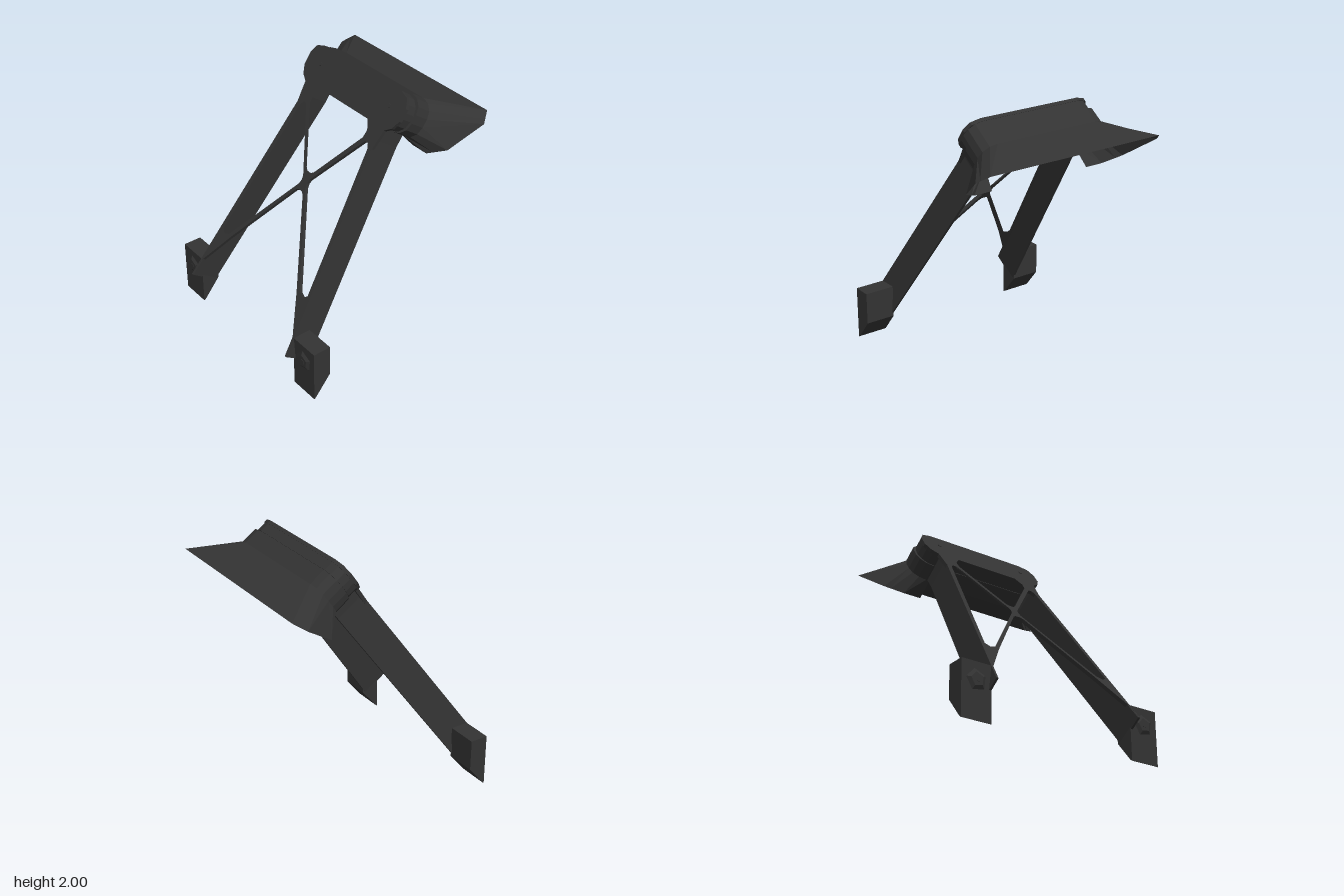
import * as THREE from 'three';

const TILT = -35 * Math.PI / 180;
const DEPTH = 0.245; // depth of the side legs behind the front plane
const dark = new THREE.MeshStandardMaterial({ color: 0x333333, flatShading: true });
const darkOpen = new THREE.MeshStandardMaterial({ color: 0x333333, flatShading: true, side: THREE.DoubleSide });

const vec = (pts) => pts.map(([x, y]) => new THREE.Vector2(x, y));
const flip = (pts) => pts.map(([x, y]) => [-x, y]);
const mirrored = (half) => [...half, ...flip(half).reverse()];

function add(parent, name, geometry, material = dark) {
  const mesh = new THREE.Mesh(geometry, material);
  mesh.name = name;
  parent.add(mesh);
  return mesh;
}

// Flat outline extruded from z = back to z = front
function slab(outline, back, front, holes = []) {
  const shape = new THREE.Shape(vec(outline));
  holes.forEach((h) => shape.holes.push(new THREE.Path(vec(h))));
  const g = new THREE.ExtrudeGeometry(shape, { depth: front - back, bevelEnabled: false });
  return g.translate(0, 0, back);
}

// Rounded oblong, four points per corner, counter-clockwise from the bottom right
function oblong(w, bottom, top, r) {
  const pts = [];
  const centres = [[w - r, bottom + r], [w - r, top - r], [r - w, top - r], [r - w, bottom + r]];
  centres.forEach(([cx, cy], c) => {
    for (let k = 0; k < 4; k++) {
      const a = (c - 1 + k / 3) * Math.PI / 2;
      pts.push([cx + r * Math.cos(a), cy + r * Math.sin(a)]);
    }
  });
  return pts;
}

// Open skin between a front and a back row of equal point count, facing outward
function skin(a, b) {
  const n = a.length, index = [];
  for (let i = 0; i < n - 1; i++) {
    index.push(i, n + i, n + i + 1, i, n + i + 1, i + 1);
  }
  const g = new THREE.BufferGeometry();
  g.setAttribute('position', new THREE.Float32BufferAttribute([...a, ...b].flat(), 3));
  g.setIndex(index);
  const flat = g.toNonIndexed();
  flat.computeVertexNormals();
  return flat;
}

export function createModel() {
  const model = new THREE.Group();
  model.name = 'lampStand';

  // Everything except the feet lies in a frame leaning back
  const frame = new THREE.Group();
  frame.name = 'leaningFrame';
  frame.position.set(0, 0.30, 0.87);
  frame.rotation.x = TILT;
  model.add(frame);

  // Front plate: head, leg edges and crossed braces in one cut sheet
  const outline = mirrored([
    [0.43, 2.075], [0.51, 2.05], [0.545, 1.98], [0.545, 1.88], [0.51, 1.81], [0.455, 1.77],
    [0.435, 1.61], [0.62, 0], [0.605, 0], [0.603, 0.12], [0.42, 0.44], [0.045, 1.045], [0.02, 1.063],
  ]);
  const sideHole = [
    [0.397, 1.60], [0.375, 1.635], [0.345, 1.635], [0.04, 1.17], [0.032, 1.135],
    [0.04, 1.10], [0.45, 0.45], [0.50, 0.43], [0.535, 0.46],
  ];
  const topHole = mirrored([[0.27, 1.78], [0.315, 1.71], [0.31, 1.65], [0.045, 1.235], [0.02, 1.215]]);
  add(frame, 'frontPlate', slab(outline, -0.028, 0, [sideHole, flip(sideHole), topHole]));

  // Deep side legs and face screws
  const leg = [[0.62, 0], [0.427, 1.68], [0.427, 1.80], [0.40, 1.80], [0.40, 1.68], [0.602, 0]];
  for (const s of [1, -1]) {
    const side = s > 0 ? 'left' : 'right';
    add(frame, side + 'Leg', slab(s > 0 ? leg : flip(leg), -DEPTH, -0.002));
    const screw = new THREE.CylinderGeometry(0.016, 0.016, 0.006, 6).rotateX(Math.PI / 2);
    add(frame, side + 'FaceScrew', screw).position.set(s * 0.39, 1.94, 0.002);
  }

  // Lamp housing in stepped layers
  add(frame, 'housingFront', slab(oblong(0.545, 1.785, 2.073, 0.12), -0.105, -0.002));
  add(frame, 'housingGroove', slab(oblong(0.541, 1.789, 2.069, 0.12), -0.115, -0.105));
  const back = oblong(0.558, 1.782, 2.088, 0.12);
  add(frame, 'housingBack', slab(back, -DEPTH, -0.115));

  // Lens with a raised surround
  const lensRim = oblong(0.51, 1.815, 2.055, 0.11);
  const lens = oblong(0.47, 1.845, 2.025, 0.085);
  add(frame, 'lensSurround', slab(lensRim, -0.275, -DEPTH, [lens]));
  add(frame, 'lens', slab(lens, -0.26, -DEPTH));

  // Flared hood, open along the bottom: rim corners as [x, fraction down the slanted opening]
  const rimPoint = (x, t) => [x, 2.217 - 0.476 * t, -0.568 + 0.176 * t];
  const corners = [
    [[0.58, 1], [0.71, 0.8]], [[0.81, 0.2], [0.75, 0]],
    [[-0.75, 0], [-0.81, 0.2]], [[-0.71, 0.8], [-0.58, 1]],
  ];
  const rim = corners.flatMap(([p, q]) => [0, 1, 2, 3].map((k) => rimPoint(
    THREE.MathUtils.lerp(p[0], q[0], k / 3), THREE.MathUtils.lerp(p[1], q[1], k / 3))));
  const root = back.map(([x, y]) => [x, y, -DEPTH]);
  const rootEnd = (x) => [x, 1.782, -DEPTH];
  add(frame, 'hood', skin(
    [rootEnd(0.41), ...root, rootEnd(-0.41)],
    [rimPoint(0.43, 1), ...rim, rimPoint(-0.43, 1)]), darkOpen);

  // Feet: wedge-bottomed blocks with a five-sided bolt
  const footProfile = [[-0.785, 0], [-0.785, 0.422], [-0.64, 0.422], [-0.64, 0.17], [-0.77, 0.01]];
  for (const s of [1, -1]) {
    const foot = new THREE.Group();
    foot.name = s > 0 ? 'leftFoot' : 'rightFoot';
    foot.position.x = s * 0.72;
    model.add(foot);
    add(foot, 'footBlock', slab(footProfile, -0.12, 0.12).rotateY(Math.PI / 2));
    const bolt = new THREE.CylinderGeometry(0.052, 0.09, 0.02, 5).rotateX(Math.PI / 2);
    const flange = add(foot, 'boltFlange', bolt);
    flange.position.set(0, 0.29, 0.791);
    flange.rotation.z = -0.42;
    add(foot, 'boltPin', new THREE.BoxGeometry(0.032, 0.032, 0.006)).position.set(0, 0.29, 0.801);
  }
  return model;
}
